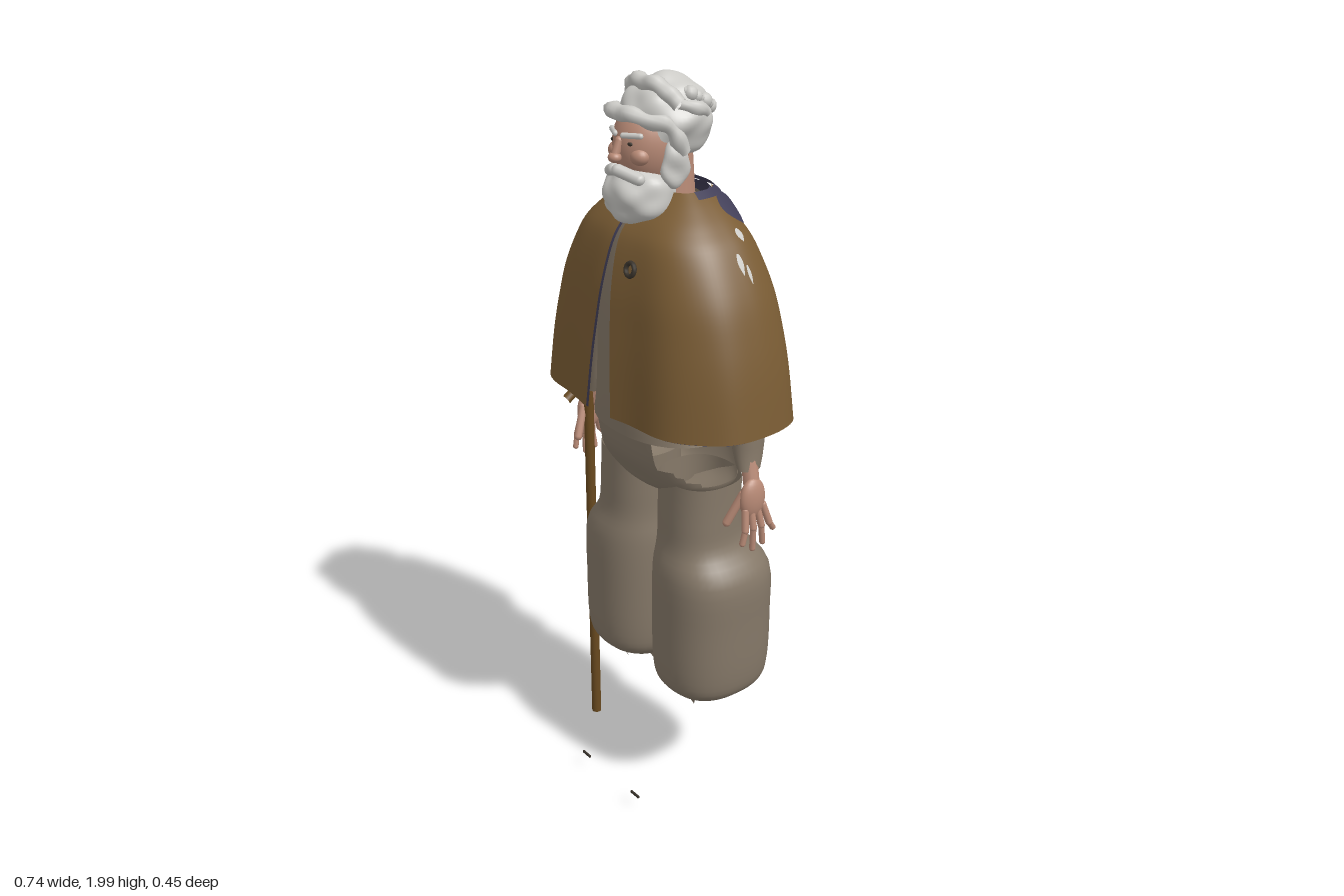
import * as THREE from 'three';
import { mergeVertices } from 'three/addons/utils/BufferGeometryUtils.js';

const mat = (name, color, side = THREE.FrontSide) => {
  const m = new THREE.MeshStandardMaterial({ color, side });
  m.name = name;
  return m;
};

// smooth interpolation along a list of cross-sections, v = fractional row index
function sampleRow(rows, v) {
  const i = Math.min(Math.max(Math.floor(v), 0), rows.length - 2), t = v - i;
  const at = k => rows[Math.min(Math.max(k, 0), rows.length - 1)];
  const [a, b, c, d] = [at(i - 1), at(i), at(i + 1), at(i + 2)];
  return b.map((_, k) => b[k] + 0.5 * t * (c[k] - a[k] + t * (2 * a[k] - 5 * b[k] + 4 * c[k] - d[k]
    + t * (3 * (b[k] - c[k]) + d[k] - a[k]))));
}

// grid surface from f(u, v) -> [x, y, z]; v runs downward, u runs from front to +x
function surface(f, nu, nv, keep = () => true) {
  const pos = [], idx = [];
  for (let j = 0; j <= nv; j++) for (let i = 0; i <= nu; i++) pos.push(...f(i / nu, j / nv));
  for (let j = 0; j < nv; j++) for (let i = 0; i < nu; i++) {
    if (!keep(...f((i + 0.5) / nu, (j + 0.5) / nv))) continue;
    const a = j * (nu + 1) + i, b = a + 1, c = a + nu + 1, d = c + 1;
    idx.push(a, c, b, b, c, d);
  }
  const g = new THREE.BufferGeometry();
  g.setAttribute('position', new THREE.Float32BufferAttribute(pos, 3));
  g.setIndex(idx);
  const merged = mergeVertices(g, 1e-5);
  merged.computeVertexNormals();
  return merged;
}

// unit super-ellipse point at an angle measured from the front
function outline(angle, n) {
  const s = Math.sin(angle), c = Math.cos(angle);
  const k = Math.pow(Math.abs(s) ** n + Math.abs(c) ** n, -1 / n);
  return [s * k, c * k];
}

// rows: [y, cx, cz, rx, rz] from top to bottom
function loft(rows, n = 2.3, nu = 40, sub = 4, keep) {
  return surface((u, v) => {
    const [y, cx, cz, rx, rz] = sampleRow(rows, v * (rows.length - 1));
    const [s, c] = outline(u * Math.PI * 2, n);
    return [cx + s * rx, y, cz + c * rz];
  }, nu, (rows.length - 1) * sub, keep);
}

// push vertices in and out for curly hair
function curly(geo, amp, freq) {
  geo.deleteAttribute('uv');
  geo.deleteAttribute('normal');
  const g = mergeVertices(geo, 1e-5);
  g.computeVertexNormals();
  const p = g.attributes.position, q = g.attributes.normal;
  for (let i = 0; i < p.count; i++) {
    const x = p.getX(i), y = p.getY(i), z = p.getZ(i);
    const d = amp * (Math.sin(freq * x + 1) * Math.sin(freq * 0.9 * y + 2) + Math.sin(freq * 0.8 * z + 3 * Math.sin(30 * y)) * 0.6);
    p.setXYZ(i, x + q.getX(i) * d, y + q.getY(i) * d, z + q.getZ(i) * d);
  }
  g.computeVertexNormals();
  return g;
}

const ball = (x, y, z, rx, ry, rz, w = 24, h = 16) =>
  new THREE.SphereGeometry(1, w, h).scale(rx, ry, rz).translate(x, y, z);

function capsule(a, b, r) {
  const p = new THREE.Vector3(...a), q = new THREE.Vector3(...b), d = q.clone().sub(p);
  const g = new THREE.CapsuleGeometry(r, d.length(), 4, 10);
  g.applyQuaternion(new THREE.Quaternion().setFromUnitVectors(new THREE.Vector3(0, 1, 0), d.normalize()));
  return g.translate(...p.add(q).multiplyScalar(0.5).toArray());
}

const tube = (pts, r, seg = 32) =>
  new THREE.TubeGeometry(new THREE.CatmullRomCurve3(pts.map(p => new THREE.Vector3(...p))), seg, r, 10);

// cape cross-sections: y, half width, front z, back z, half opening
const capeRows = [
  [1.72, 0.105, 0.05, 0.09, 0.005], [1.69, 0.15, 0.09, 0.115, 0.007], [1.65, 0.2, 0.135, 0.13, 0.009],
  [1.6, 0.245, 0.165, 0.155, 0.012], [1.5, 0.298, 0.19, 0.185, 0.02], [1.4, 0.33, 0.203, 0.2, 0.029],
  [1.3, 0.352, 0.213, 0.21, 0.038], [1.175, 0.37, 0.222, 0.218, 0.048]];
function capePoint(angle, row, off) {
  const [y, rx, zf, zb] = sampleRow(capeRows, row);
  const [s, c] = outline(angle, 2.6);
  const fold = 1 + 0.055 * (row / 7) * Math.cos(angle * 9 + 0.4) * (c < 0 ? 1 : 0.6);
  return [s * (rx + off), y + off * 0.6, c * ((c > 0 ? zf : zb) + off) * fold];
}
const capeSheet = off => surface((u, v) => {
  const row = v * 7, r = sampleRow(capeRows, row), gap = Math.atan(r[4] / r[1]);
  return capePoint(gap + u * (Math.PI * 2 - 2 * gap), row, off);
}, 96, 35);
// pointed scrap lying on the cape
const capePatch = (angle, width, top, bottom) => surface((u, v) =>
  capePoint(angle + width * (u - 0.5) * Math.sin(Math.PI * (0.12 + 0.88 * v)), top + (bottom - top) * v, 0.005), 6, 8);

export function createModel() {
  const root = new THREE.Group();
  root.name = 'cloakedOldMan';
  const M = {
    cape: mat('capeBrown', 0x7a5c34),
    navy: mat('liningNavy', 0x413e57, THREE.DoubleSide),
    cloth: mat('clothTaupe', 0x857868, THREE.DoubleSide),
    skin: mat('skin', 0xb88a76),
    hair: mat('hairGrey', 0xcbcac6, THREE.DoubleSide),
    wood: mat('staffWood', 0x68491f),
    dark: mat('darkMetal', 0x3a342c, THREE.DoubleSide),
  };
  const add = (name, geo, m) => {
    const mesh = new THREE.Mesh(geo, m);
    mesh.name = name;
    root.add(mesh);
    return mesh;
  };

  // cape, lining, collar and scraps
  add('cape', capeSheet(0), M.cape);
  add('capeLining', capeSheet(-0.006), M.navy);
  add('collar', surface((u, v) => capePoint(Math.PI * (0.45 + 1.1 * u), v * 0.55, 0.004), 40, 3), M.navy);
  [[2.15, 0.6, 0.4, 2.1], [-2.15, 0.65, 0.4, 2.1], [Math.PI, 0.3, 0.3, 2.4]].forEach(p => add('collarPoint', capePatch(...p), M.navy));
  [[1.85, 0.13, 2.1, 2.7], [1.62, 0.1, 3.0, 3.5], [-1.9, 0.13, 2.2, 2.8], [-1.62, 0.13, 2.7, 3.2], [1.72, 0.06, 3.3, 3.7]]
    .forEach(p => add('paleFleck', capePatch(...p), M.hair));
  add('capeButton', new THREE.TorusGeometry(0.016, 0.006, 8, 16).rotateX(-0.25).translate(0.083, 1.56, 0.181), M.dark);

  // shirt and hips, open at the sides below the shirt hem
  add('shirt', loft([[1.7, 0, -0.02, 0.075, 0.05], [1.62, 0, 0, 0.15, 0.1], [1.45, 0, 0.005, 0.185, 0.145],
    [1.2, 0, 0.005, 0.19, 0.163], [1.105, 0, 0.005, 0.21, 0.163]]), M.cloth);
  add('hips', loft([[1.11, 0, 0.003, 0.205, 0.163], [1.04, 0, 0, 0.205, 0.15], [0.98, 0, -0.005, 0.218, 0.122],
    [0.945, 0, -0.005, 0.15, 0.1], [0.925, 0, -0.005, 0.05, 0.07]], 2.3, 56, 5,
    (x, y) => Math.abs(x) < 0.115 || y < 1.035 - (Math.abs(x) - 0.115) * 0.45), M.cloth);

  for (const s of [1, -1]) {
    // baggy trouser leg with a torn hem
    add('trouserLeg', loft([[0.985, 0.125, -0.005, 0.104, 0.1], [0.88, 0.126, -0.005, 0.104, 0.105], [0.8, 0.13, -0.01, 0.109, 0.115],
      [0.72, 0.15, -0.025, 0.141, 0.15], [0.58, 0.15, -0.027, 0.143, 0.155], [0.43, 0.15, -0.027, 0.139, 0.153],
      [0.37, 0.148, -0.028, 0.122, 0.135], [0.33, 0.14, -0.03, 0.07, 0.08]].map(r => [r[0], r[1] * s, ...r.slice(2)]), 2.4, 44), M.cloth);
    [[0.2, 0.06], [2.6, 0.05], [-1.3, 0.045], [-2.5, 0.04]].forEach(([a, w]) => add('tornHem', surface((u, v) => {
      const t = a + (u - 0.5) * w * 11 * (1 - v);
      return [s * (0.14 + Math.sin(t) * 0.07 * (1 - v * 0.25)), 0.335 - v * w * 0.75, -0.03 + Math.cos(t) * 0.08 * (1 - v * 0.25)];
    }, 4, 2), M.cloth));

    // sleeve
    add('sleeve', loft([[1.56, 0.19, -0.01, 0.055, 0.06], [1.4, 0.25, -0.015, 0.055, 0.06], [1.2, 0.292, -0.012, 0.042, 0.05],
      [1.12, 0.305, -0.008, 0.033, 0.042], [1.075, 0.318, 0, 0.024, 0.032]].map(r => [r[0], r[1] * s, ...r.slice(2)]), 2, 24), M.cloth);

    // hand
    const at = (x, y, z) => [s * x, y, z];
    add('wrist', capsule(at(0.318, 1.1, 0), at(0.335, 1.04, 0.005), 0.021), M.skin);
    add('palm', ball(...at(0.345, 1.005, 0.01), 0.021, 0.055, 0.038), M.skin);
    for (let i = 0; i < 4; i++) {
      const z = 0.036 - i * 0.019, tip = 0.05 - i * 0.033, drop = [0.895, 0.872, 0.88, 0.91][i];
      const mid = at(0.36, 0.93, (z + tip) / 2);
      add('finger', capsule(at(0.35, 0.98, z), mid, 0.0095), M.skin);
      add('fingertip', capsule(mid, at(0.358, drop, tip), 0.008), M.skin);
    }
    add('thumb', capsule(at(0.338, 1.02, 0.035), at(0.318, 0.945, 0.068), 0.011), M.skin);

    // face details
    add('eye', ball(s * 0.032, 1.842, 0.139, 0.009, 0.005, 0.005, 12, 8), M.dark);
    add('eyebrow', capsule([s * 0.015, 1.86, 0.146], [s * 0.055, 1.862, 0.126], 0.007), M.hair);
    add('cheek', ball(s * 0.042, 1.812, 0.118, 0.026, 0.022, 0.024), M.skin);
    add('moustache', capsule([s * 0.008, 1.779, 0.158], [s * 0.056, 1.762, 0.132], 0.015), M.hair);
    add('sideburn', curly(ball(s * 0.084, 1.79, 0.045, 0.02, 0.06, 0.04), 0.004, 90), M.hair);

    // shoe scrap
    add('shoeScrap', new THREE.BoxGeometry(0.035, 0.006, 0.005).translate(s * 0.115, 0.045, 0.21), M.dark);
  }

  // head
  add('neck', new THREE.CylinderGeometry(0.05, 0.06, 0.16, 24).translate(0, 1.74, -0.01), M.skin);
  add('face', ball(0, 1.83, 0.05, 0.084, 0.11, 0.1, 32, 24), M.skin);
  add('noseBridge', capsule([0, 1.845, 0.146], [0, 1.815, 0.158], 0.011), M.skin);
  add('noseTip', ball(0, 1.808, 0.16, 0.017, 0.013, 0.016), M.skin);
  add('beard', curly(ball(0, 1.712, 0.09, 0.096, 0.08, 0.083, 48, 36), 0.004, 75), M.hair);
  add('hair', curly(ball(0, 1.88, 0.008, 0.105, 0.105, 0.114, 64, 48), 0.005, 70), M.hair);

  // rolled locks over the brow and crown
  const lock = (pts, r) => add('hairRoll', curly(tube(pts, r, 48), 0.004, 100), M.hair);
  lock([[-0.098, 1.82, 0.03], [-0.096, 1.88, 0.07], [-0.06, 1.905, 0.125], [0, 1.91, 0.145],
    [0.06, 1.905, 0.125], [0.096, 1.88, 0.07], [0.098, 1.82, 0.03]], 0.018);
  lock([[-0.09, 1.93, 0.035], [-0.05, 1.965, 0.06], [0, 1.972, 0.07], [0.05, 1.965, 0.06], [0.09, 1.93, 0.035]], 0.021);
  lock([[-0.092, 1.9, -0.04], [-0.1, 1.92, 0.0], [-0.09, 1.935, 0.04]], 0.014);
  lock([[0.092, 1.9, -0.04], [0.1, 1.92, 0.0], [0.09, 1.935, 0.04]], 0.014);

  // small curls on the sides and back
  for (let i = 0; i < 22; i++) {
    const a = Math.PI * (0.5 + (i * 0.382) % 1), h = -0.75 + 1.5 * ((i * 0.618) % 1), k = Math.sqrt(1 - h * h);
    const r = 0.011 + 0.004 * (i % 3);
    add('curl', ball(Math.sin(a) * k * 0.1, 1.88 + h * 0.1, 0.008 + Math.cos(a) * k * 0.11, r, r, r, 12, 8), M.hair);
  }

  // walking staff with a bent grip
  add('staff', new THREE.CylinderGeometry(0.014, 0.014, 1.05, 16).translate(-0.325, 0.525, 0.025), M.wood);
  add('staffGrip', tube([[-0.325, 1.04, 0.025], [-0.325, 1.075, 0.03], [-0.325, 1.085, 0.06], [-0.325, 1.062, 0.1]], 0.014), M.wood);
  return root;
}
